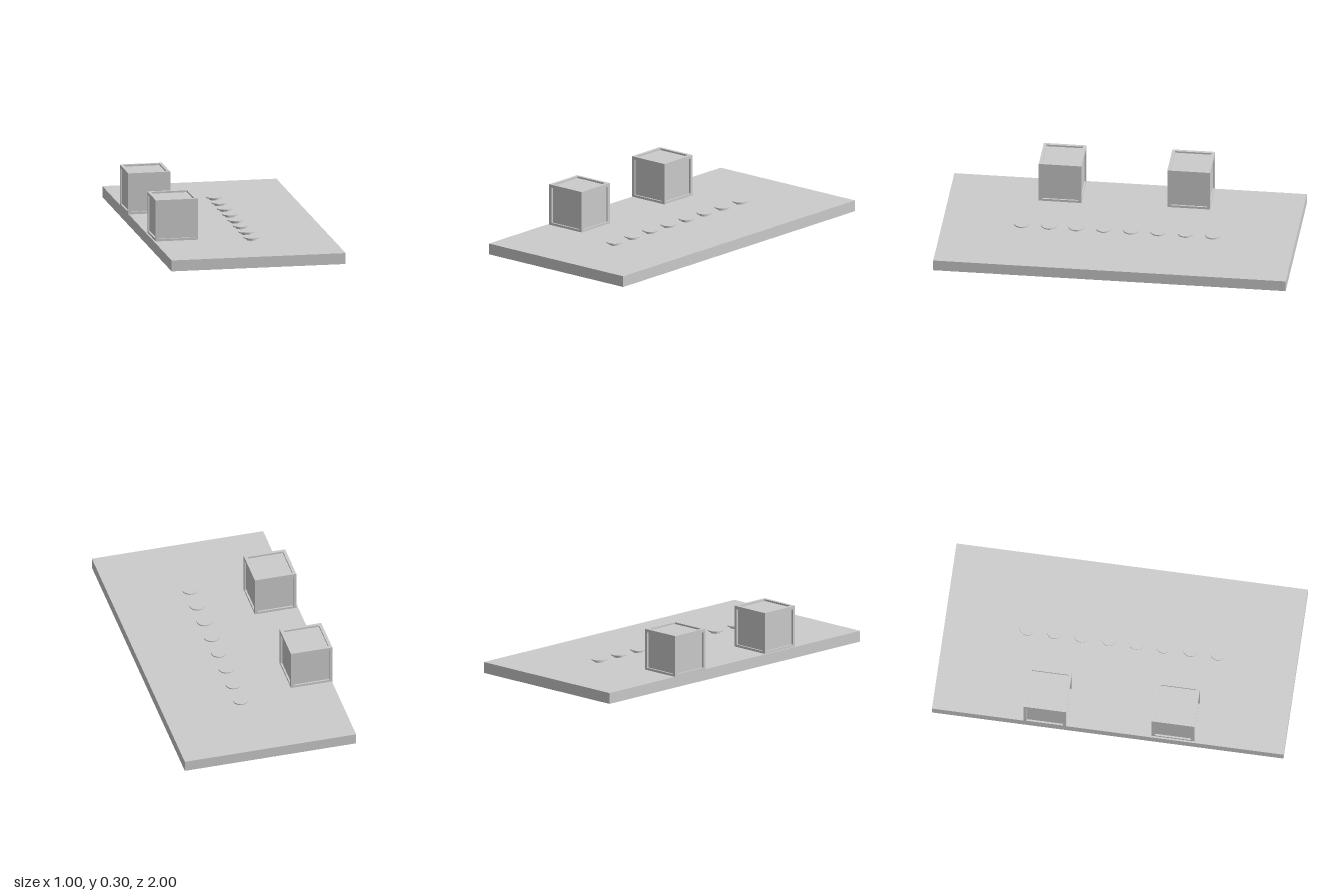
import * as THREE from 'three';
import { toCreasedNormals } from 'three/addons/utils/BufferGeometryUtils.js';

const material = new THREE.MeshStandardMaterial({ color: 0xcccccc });
const BASE_TOP = 0.063;

function addBox(parent, name, size, pos) {
  const mesh = new THREE.Mesh(new THREE.BoxGeometry(...size), material);
  mesh.name = name;
  mesh.position.set(...pos);
  parent.add(mesh);
  return mesh;
}

// Crate: recessed panels held by twelve edge beams
function createCrate(size, beam, inset) {
  const crate = new THREE.Group();
  crate.name = 'crate';
  const inner = size - 2 * inset;
  addBox(crate, 'cratePanels', [inner, inner, inner], [0, 0, 0]);
  const edge = (size - beam) / 2;
  const gap = size - 2 * beam;
  for (const a of [-edge, edge]) {
    for (const b of [-edge, edge]) {
      addBox(crate, 'crateBeamAcross', [size, beam, beam], [0, a, b]);
      addBox(crate, 'crateBeamUpright', [beam, gap, beam], [a, 0, b]);
      addBox(crate, 'crateBeamDeep', [beam, beam, gap], [a, b, 0]);
    }
  }
  return crate;
}

// Small flat-topped disc on a narrower foot
function createDiscGeometry() {
  const profile = [
    [0, 0], [0.028, 0], [0.028, 0.006], [0.034, 0.009],
    [0.044, 0.011], [0.044, 0.017], [0, 0.017],
  ].map(([r, y]) => new THREE.Vector2(r, y));
  return toCreasedNormals(new THREE.LatheGeometry(profile, 32), 0.5);
}

export function createModel() {
  const model = new THREE.Group();
  model.name = 'platformWithCrates';

  // Ground slab
  addBox(model, 'platform', [1, BASE_TOP, 2], [0, BASE_TOP / 2, 0]);

  // Two crates along one long edge
  for (const [x, z] of [[-0.369, 0.37], [-0.382, -0.358]]) {
    const crate = createCrate(0.242, 0.018, 0.01);
    crate.position.set(x, 0.179, z);
    model.add(crate);
  }

  // Row of eight discs
  const discGeometry = createDiscGeometry();
  for (let i = 0; i < 8; i++) {
    const disc = new THREE.Mesh(discGeometry, material);
    disc.name = 'disc';
    disc.position.set(0.048, BASE_TOP, -0.533 + i * 0.155);
    model.add(disc);
  }
  return model;
}
